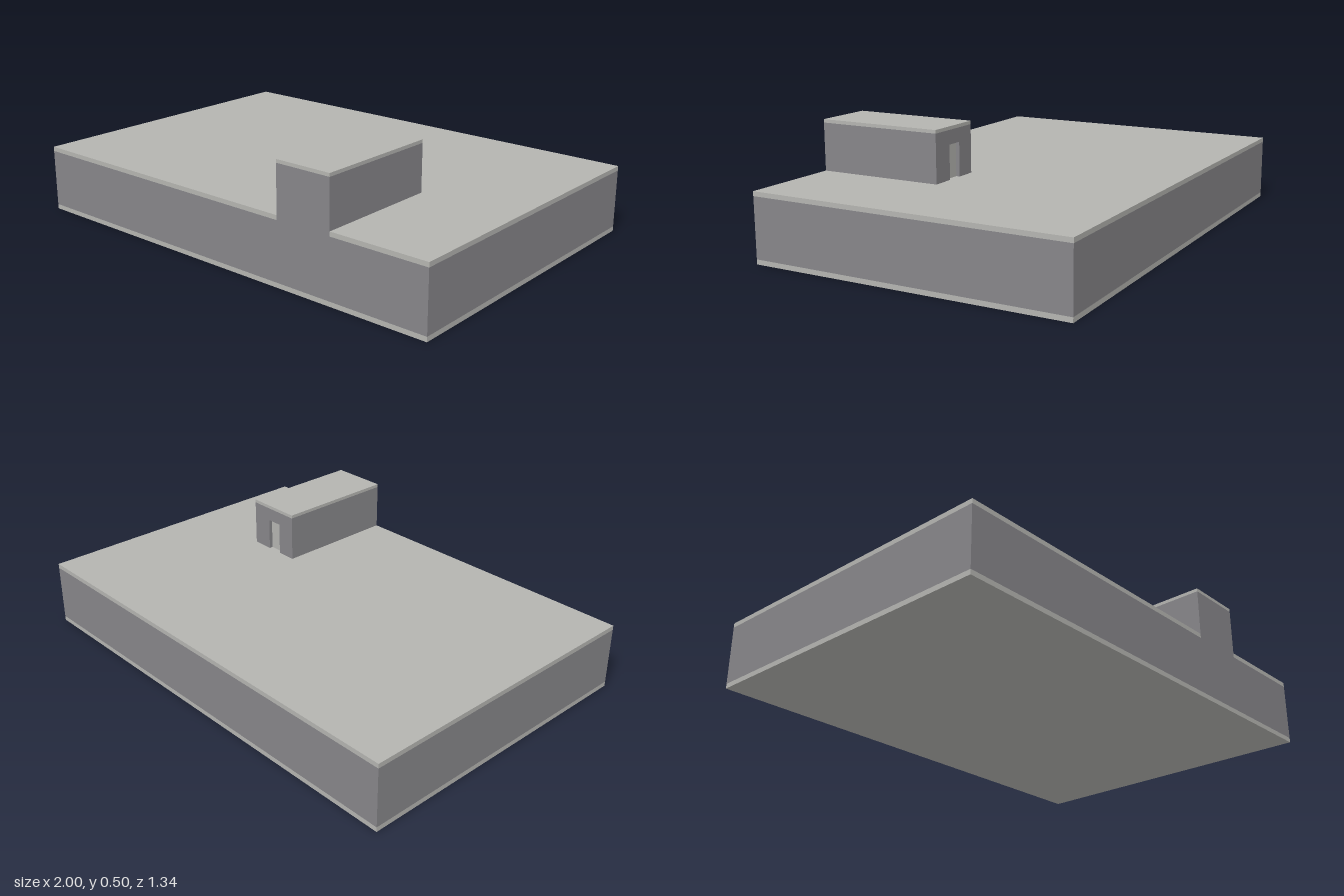
import * as THREE from 'three';

export function createModel() {
  const model = new THREE.Group();
  const wallGrey = new THREE.MeshStandardMaterial({ color: 0x868589 });
  wallGrey.name = 'wallGrey';
  const slabGrey = new THREE.MeshStandardMaterial({ color: 0xb4b4b0 });
  slabGrey.name = 'slabGrey';

  const W = 1, D = 0.67;                      // half width and half depth
  const floorTop = 0.02, roofBase = 0.266, roofTop = 0.285;
  const hutBase = 0.483, hutTop = 0.497;      // underside and top of the hut roof
  const x0 = 0.33, x1 = 0.58, z0 = 0.13;      // hut footprint, running to the front edge
  const d0 = 0.416, d1 = 0.486, doorTop = 0.425, recess = 0.02;

  const add = (name, geometry, material) => {
    const mesh = new THREE.Mesh(geometry, material);
    mesh.name = name;
    model.add(mesh);
    return mesh;
  };
  // Box given by its minimum and maximum corners
  const box = (name, material, ax, ay, az, bx, by, bz) =>
    add(name, new THREE.BoxGeometry(bx - ax, by - ay, bz - az), material)
      .position.set((ax + bx) / 2, (ay + by) / 2, (az + bz) / 2);
  const shape = (points) => new THREE.Shape(points.map(([x, y]) => new THREE.Vector2(x, y)));
  const extrude = (points, depth) =>
    new THREE.ExtrudeGeometry(shape(points), { depth, bevelEnabled: false });

  // Main block
  box('floorSlab', slabGrey, -W, 0, -D, W, floorTop, D);
  box('mainWalls', wallGrey, -W, floorTop, -D, W, roofBase, D);

  // Roof slab, notched where the hut rises flush with the front wall (shape y is -z)
  const roof = extrude([
    [-W, -D], [x0, -D], [x0, -z0], [x1, -z0], [x1, -D], [W, -D], [W, D], [-W, D],
  ], roofTop - roofBase);
  roof.rotateX(-Math.PI / 2).translate(0, roofBase, 0);
  add('roofSlab', roof, slabGrey);

  // Rooftop hut
  box('hutWalls', wallGrey, x0, roofBase, z0 + recess, x1, hutBase, D);
  box('hutRoof', slabGrey, x0, hutBase, z0, x1, hutTop, D);

  // Back wall of the hut with its doorway
  const backWall = extrude([
    [x0, roofTop], [d0, roofTop], [d0, doorTop], [d1, doorTop],
    [d1, roofTop], [x1, roofTop], [x1, hutBase], [x0, hutBase],
  ], recess);
  backWall.translate(0, 0, z0);
  add('hutBackWall', backWall, wallGrey);
  box('doorSill', slabGrey, d0, roofBase, z0, d1, roofTop, z0 + recess);
  box('door', slabGrey, d0, roofTop, z0 + recess - 0.004, d1, doorTop, z0 + recess);

  return model;
}
